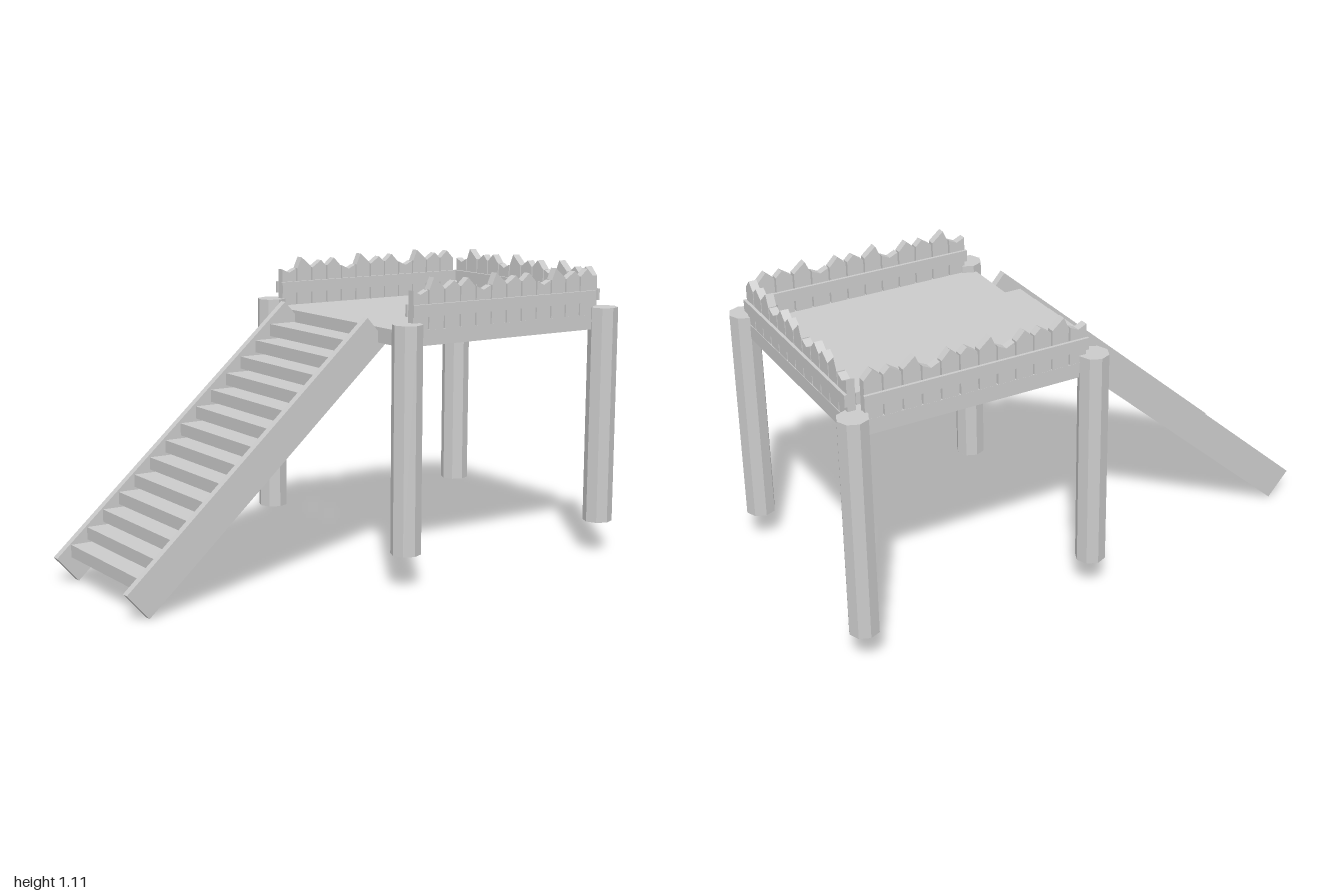
import * as THREE from 'three';

const mat = new THREE.MeshStandardMaterial({ color: 0xcccccc, flatShading: true, side: THREE.DoubleSide });

function add(parent, name, geometry, x = 0, y = 0, z = 0) {
  const mesh = new THREE.Mesh(geometry, mat);
  mesh.name = name;
  mesh.position.set(x, y, z);
  parent.add(mesh);
  return mesh;
}

// Picket tops: [start height, tip position along the width, tip height, end height]
const TOPS = [
  [1.075, 0.5, 1.108, 1.08],
  [1.08, 0.37, 1.102, 1.075],
  [1.08, 0.7, 1.118, 1.075],
  [1.075, 0.5, 1.06, 1.075],
];

// Fence running along local +x from 0, standing on the deck
function makeFence(name) {
  const fence = new THREE.Group();
  fence.name = name;
  const base = 0.93, pitch = 0.0703, width = 0.064, count = 12, thick = 0.03;
  for (let i = 0; i < count; i++) {
    const [a, t, tip, b] = TOPS[i % TOPS.length];
    const shape = new THREE.Shape([
      new THREE.Vector2(0, base),
      new THREE.Vector2(width, base),
      new THREE.Vector2(width, b),
      new THREE.Vector2(width * t, tip),
      new THREE.Vector2(0, a),
    ]);
    const geo = new THREE.ExtrudeGeometry(shape, { depth: thick, bevelEnabled: false });
    add(fence, 'picket', geo, i * pitch, 0, -thick / 2);
  }
  const length = (count - 1) * pitch + width;
  // A rail on each face of the pickets
  for (const s of [-1, 1]) {
    add(fence, 'rail', new THREE.BoxGeometry(length + 0.01, 0.044, 0.011), length / 2, 1.003, s * 0.0205);
  }
  return fence;
}

export function createModel() {
  const model = new THREE.Group();
  model.name = 'raisedPlatform';

  // Octagonal corner posts
  for (const x of [0.032, 0.944]) {
    for (const z of [-0.457, 0.457]) {
      add(model, 'post', new THREE.CylinderGeometry(0.056, 0.056, 0.83, 8), x, 0.545, z);
    }
  }

  // Deck
  add(model, 'deck', new THREE.BoxGeometry(0.925, 0.056, 0.905), 0.4825, 0.905, 0);

  // Fences on three sides; the stair side stays open
  const front = makeFence('frontFence');
  front.rotation.y = Math.PI;
  front.position.set(0.897, 0, 0.437);
  const back = makeFence('backFence');
  back.rotation.y = Math.PI;
  back.position.set(0.897, 0, -0.437);
  const side = makeFence('leftFence');
  side.rotation.y = Math.PI / 2;
  side.position.set(0.928, 0, 0.419);
  model.add(front, back, side);

  // Stair stringers, cut square at both ends
  const stairs = new THREE.Group();
  stairs.name = 'stairs';
  model.add(stairs);
  const angle = Math.atan2(0.87, 0.975);
  for (const s of [-1, 1]) {
    const stringer = add(stairs, 'stringer', new THREE.BoxGeometry(1.307, 0.126, 0.029), -0.471, 0.487, s * 0.279);
    stringer.rotation.z = angle;
  }

  // Treads
  for (let i = 0; i < 14; i++) {
    add(stairs, 'tread', new THREE.BoxGeometry(0.107, 0.046, 0.53), -0.8905 + i * 0.0654, 0.121 + i * 0.0573, 0);
  }

  return model;
}
